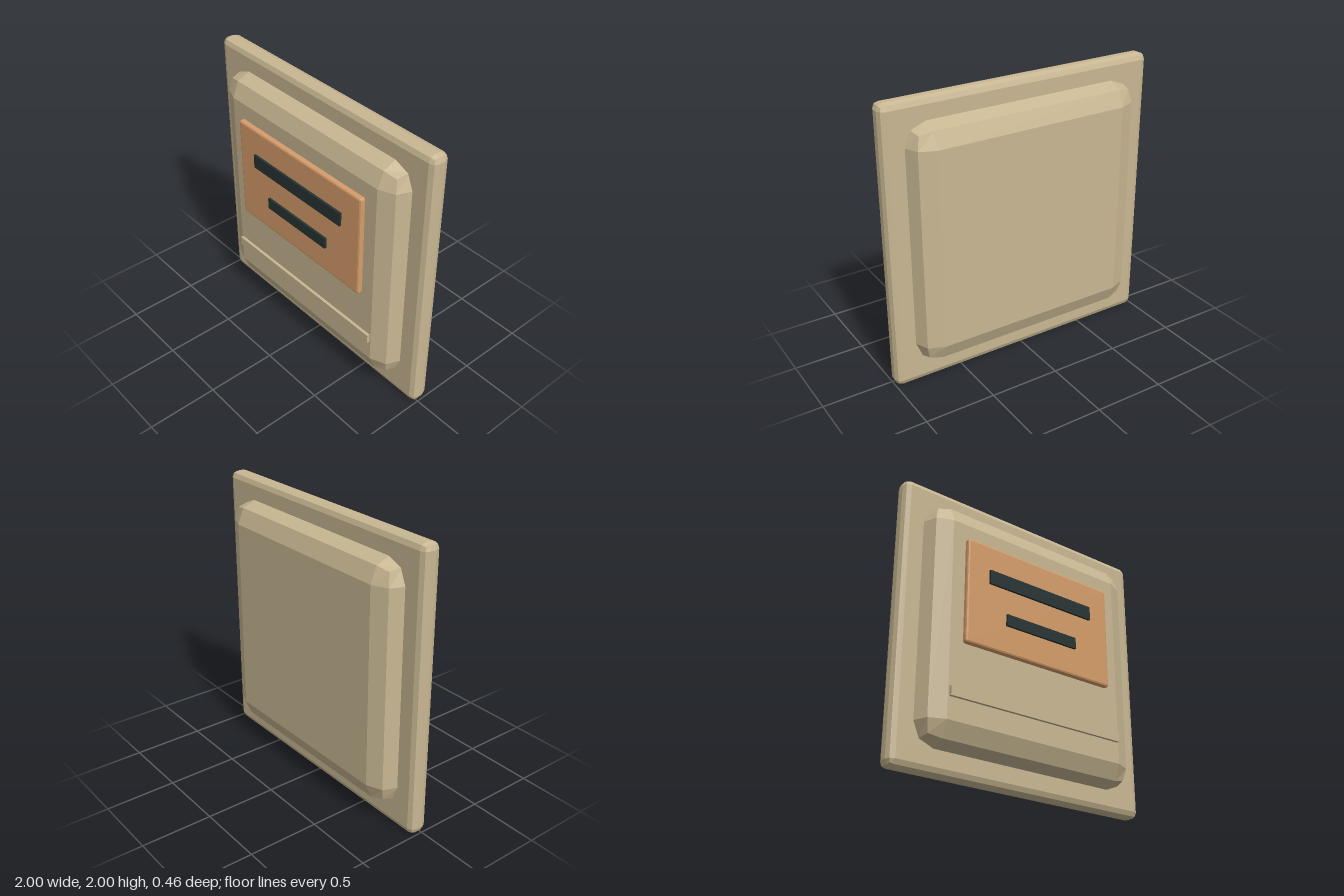
import * as THREE from 'three';

const tan = new THREE.MeshStandardMaterial({ name: 'tanShell', color: 0xc8b792 });
const orange = new THREE.MeshStandardMaterial({ name: 'orangeLabel', color: 0xd69d6a });
const dark = new THREE.MeshStandardMaterial({ name: 'darkInk', color: 0x263232 });

// Faceted box whose edges carry a two-step bevel of radius r
function bevelBox(w, h, d, r) {
  const geo = new THREE.BoxGeometry(1, 1, 1, 3, 3, 3).toNonIndexed();
  const inner = new THREE.Vector3(w / 2 - r, h / 2 - r, d / 2 - r);
  const pos = geo.attributes.position;
  const p = new THREE.Vector3();
  for (let i = 0; i < pos.count; i++) {
    p.fromBufferAttribute(pos, i);
    const side = new THREE.Vector3(Math.sign(p.x), Math.sign(p.y), Math.sign(p.z));
    // only the outermost grid lines are pushed out along the bevel
    const out = new THREE.Vector3(...p.toArray().map((c) => (Math.abs(c) > 0.4 ? Math.sign(c) : 0)));
    p.copy(side).multiply(inner).addScaledVector(out.normalize(), r);
    pos.setXYZ(i, p.x, p.y, p.z);
  }
  geo.computeVertexNormals();
  return geo;
}

export function createModel() {
  const model = new THREE.Group();
  model.name = 'sealedPacket';

  const add = (name, geo, material, y, z) => {
    const mesh = new THREE.Mesh(geo, material);
    mesh.name = name;
    mesh.position.set(0, y, z);
    model.add(mesh);
  };

  // Thin outer rim and the puffed body passing through it
  add('rim', bevelBox(2, 2, 0.132, 0.045), tan, 1, -0.024);
  add('body', bevelBox(1.71, 1.71, 0.41, 0.155), tan, 1.005, -0.024);

  // Front label with two printed bars
  add('label', bevelBox(1.205, 0.755, 0.05, 0.014), orange, 1.212, 0.191);
  add('upperBar', new THREE.BoxGeometry(0.865, 0.1, 0.02), dark, 1.35, 0.222);
  add('lowerBar', new THREE.BoxGeometry(0.585, 0.082, 0.02), dark, 1.075, 0.222);

  // Raised seam near the bottom
  add('seam', new THREE.BoxGeometry(1.38, 0.066, 0.04), tan, 0.489, 0.182);

  return model;
}
